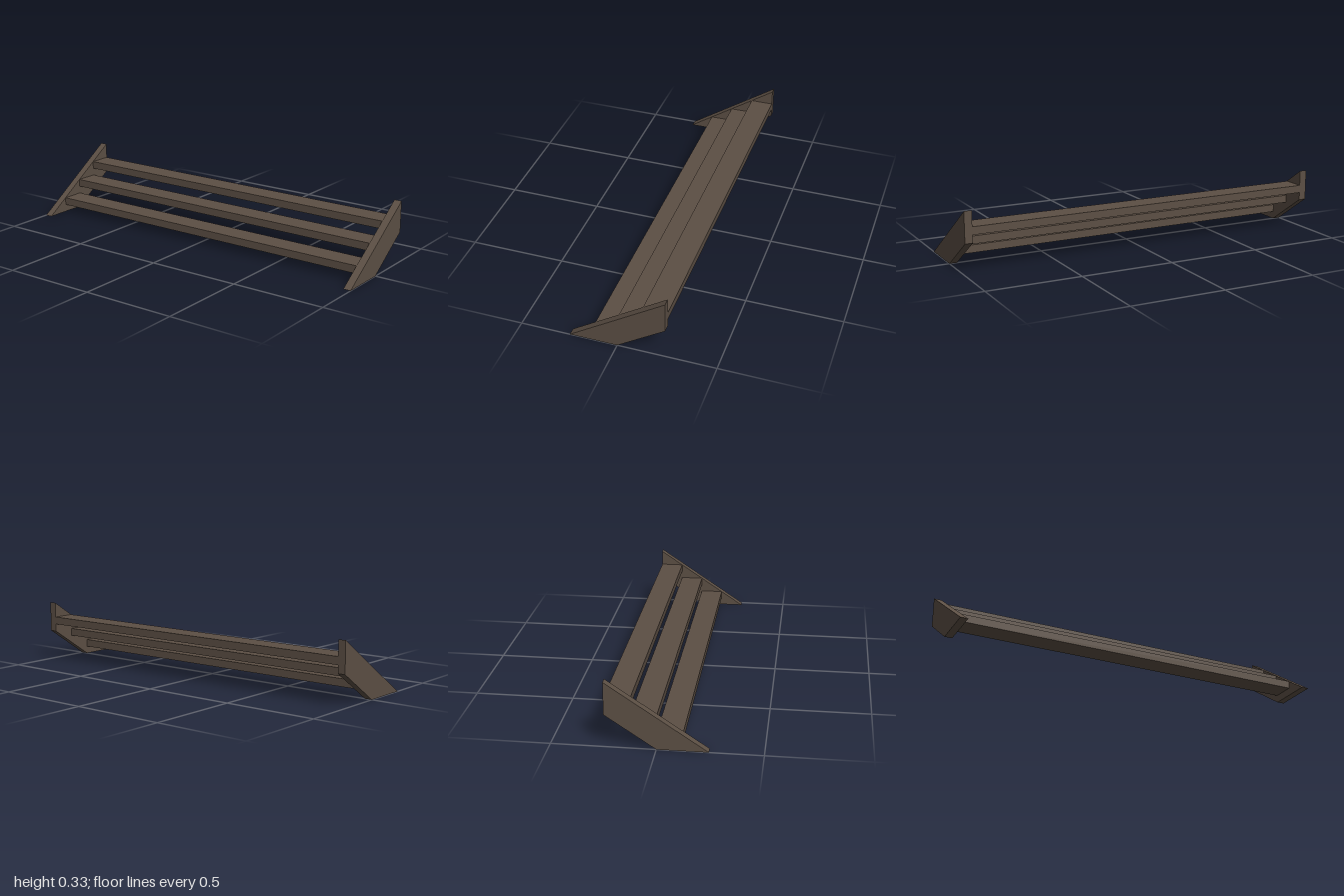
import * as THREE from 'three';

export function createModel() {
  const model = new THREE.Group();
  model.name = 'openSteps';
  const wood = new THREE.MeshStandardMaterial({ color: 0x5c4f44 });
  wood.name = 'dark wood';

  const half = 0.245, rise = 0.0817, run = half / 2, thick = 0.041, side = 0.04;

  // Slanted side boards, profile drawn in (z, y) and turned to face sideways
  const profile = new THREE.Shape([
    new THREE.Vector2(half, 0),
    new THREE.Vector2(half, 0).setX(-half).setY(rise * 4),
    new THREE.Vector2(-half, rise * 2),
    new THREE.Vector2(0, 0),
  ]);
  const boardGeometry = new THREE.ExtrudeGeometry(profile, { depth: side, bevelEnabled: false })
    .rotateY(-Math.PI / 2)
    .translate(side / 2, 0, 0);
  for (const s of [-1, 1]) {
    const board = new THREE.Mesh(boardGeometry, wood);
    board.name = s > 0 ? 'leftSideBoard' : 'rightSideBoard';
    board.position.x = s * (1 - side / 2);
    model.add(board);
  }

  // Three flat treads climbing towards the back
  const treadGeometry = new THREE.BoxGeometry(2 - 2 * side, thick, run);
  for (let i = 0; i < 3; i++) {
    const tread = new THREE.Mesh(treadGeometry, wood);
    tread.name = `tread${i + 1}`;
    tread.position.set(0, rise * (i + 1) - thick / 2, run * (0.5 - i));
    model.add(tread);
  }
  return model;
}
